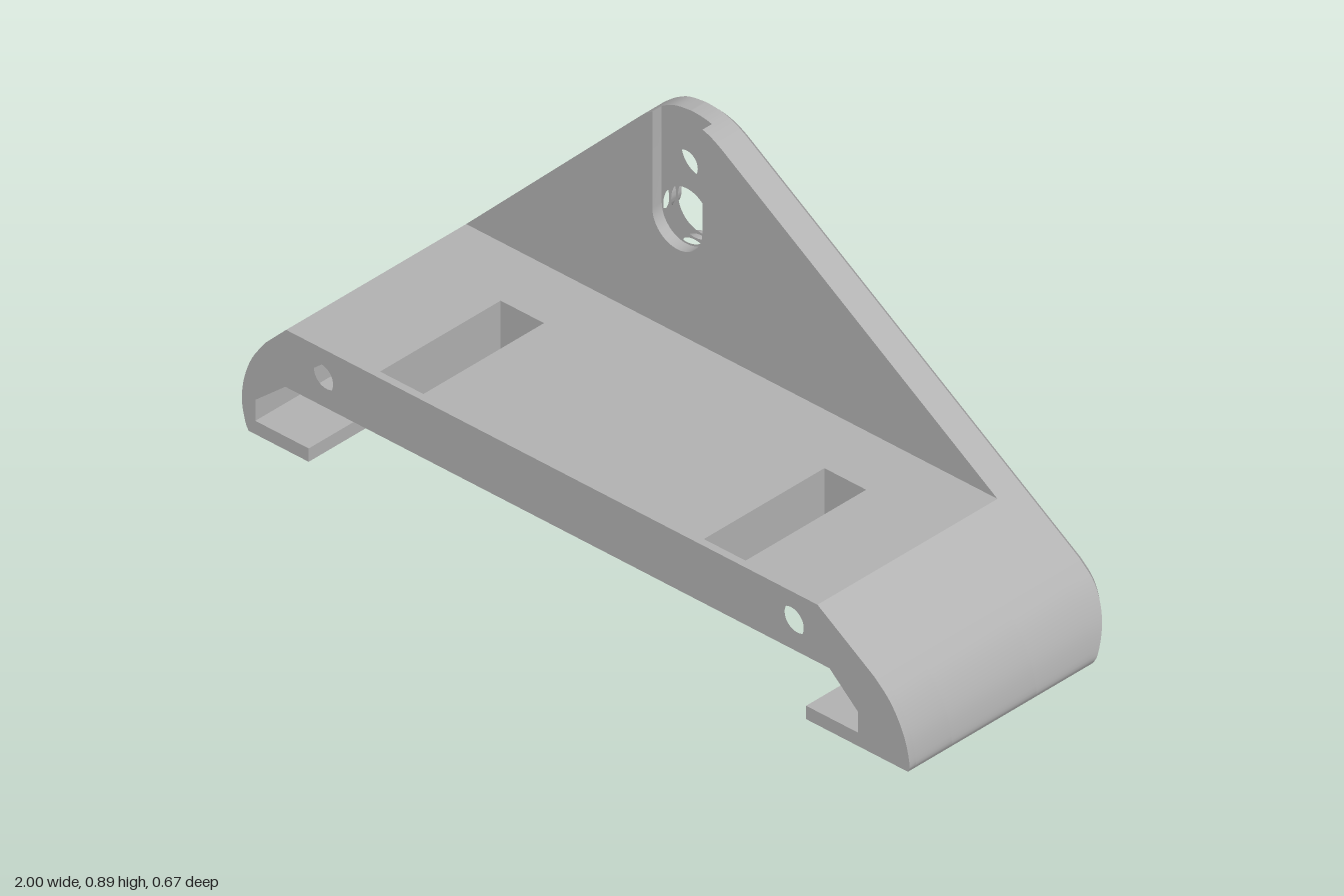
import * as THREE from 'three';
import { toCreasedNormals } from 'three/addons/utils/BufferGeometryUtils.js';

const grey = new THREE.MeshStandardMaterial({ color: 0xb2b2b2 });
grey.name = 'grey plastic';

const V = (x, y) => new THREE.Vector2(x, y);
const arc = (pts) => new THREE.SplineCurve(pts.map((p) => V(...p))).getPoints(20);

// Bracket silhouette: left and right flanks, each from the ground up to the apex
const LEFT = [
  ...arc([[-0.98, 0], [-0.99, 0.02], [-1, 0.07], [-0.994, 0.13], [-0.97, 0.195], [-0.928, 0.255]]),
  ...arc([[-0.345, 0.835], [-0.31, 0.862], [-0.27, 0.882], [-0.22, 0.89]]),
];
const RIGHT = [
  ...arc([[0.995, 0], [1, 0.02], [0.988, 0.075], [0.965, 0.125], [0.935, 0.167], [0.895, 0.203]]),
  ...arc([[-0.105, 0.858], [-0.14, 0.876], [-0.18, 0.887], [-0.22, 0.89]]),
];

const BLOCK_TOP = 0.315, BEND = 0.17, CHAMFER = 0.018;
const FRONT = 0.335, CAVITY_BACK = -0.07, PLATE_FRONT = -0.24, BACK = -0.335;

// Back surface depth: flat above, curling forward near the ground
const backZ = (y) => BACK + 0.062 * Math.pow(Math.max(0, BEND - y) / BEND, 1.6);

// Silhouette as one open path, and its inset copy for the chamfered rear edge
const rim = [...LEFT, ...RIGHT.slice(0, -1).reverse()];
const inset = rim.map((p, i) => {
  const t = rim[Math.min(i + 1, rim.length - 1)].clone().sub(rim[Math.max(i - 1, 0)]).normalize();
  const end = i === 0 || i === rim.length - 1;
  return V(p.x + t.y * CHAMFER, end ? 0 : p.y - t.x * CHAMFER);
});
const LEFT_IN = inset.slice(0, LEFT.length);
const RIGHT_IN = inset.slice(LEFT.length - 1).reverse();

// x of a flank at height y
function xAt(side, y) {
  let i = 1;
  while (i < side.length - 1 && side[i].y < y) i++;
  const a = side[i - 1], b = side[i];
  return a.x + ((b.x - a.x) * (y - a.y)) / (b.y - a.y);
}

// Part of a flank between two heights
function flank(side, y0, y1) {
  const pts = side.filter((p) => p.y > y0 + 1e-4 && p.y < y1 - 1e-4);
  return [V(xAt(side, y0), y0), ...pts, V(xAt(side, y1), y1)];
}

const fullPlate = (l, r) => [...flank(l, BEND, 1).slice(0, -1), ...flank(r, BEND, 1).slice(0, -1).reverse()];

export function createModel() {
  const model = new THREE.Group();
  model.name = 'mountingBracket';

  function add(name, geometry) {
    const mesh = new THREE.Mesh(toCreasedNormals(geometry, 0.5), grey);
    mesh.name = name;
    model.add(mesh);
  }

  // Slab between two depths, with round holes [x, y, radius]
  function slab(name, points, z0, z1, holes = []) {
    const shape = new THREE.Shape(points);
    for (const [x, y, r] of holes) shape.holes.push(new THREE.Path().absarc(x, y, r, 0, Math.PI * 2, true));
    const g = new THREE.ExtrudeGeometry(shape, { depth: z1 - z0, bevelEnabled: false, curveSegments: 32 });
    add(name, g.translate(0, 0, z0));
  }

  // Surface through rows of [x, y, z] points
  function loft(name, rows) {
    const n = rows[0].length, index = [];
    for (let r = 0; r < rows.length - 1; r++) {
      for (let i = 0; i < n - 1; i++) {
        const a = r * n + i, b = a + n;
        index.push(a, a + 1, b + 1, a, b + 1, b);
      }
    }
    const g = new THREE.BufferGeometry();
    g.setAttribute('position', new THREE.Float32BufferAttribute(rows.flat(2), 3));
    g.setIndex(index);
    g.computeVertexNormals();
    add(name, g);
  }

  // Block with an under-cut cavity that is open to the front and below
  const blockL = flank(LEFT, 0, BLOCK_TOP);
  const blockR = flank(RIGHT, 0, BLOCK_TOP).reverse();
  const cavityL = [V(-0.87, 0.165), V(-0.96, 0.09), V(-0.96, 0.035), V(-0.8, 0.035), V(-0.8, 0)];
  const cavityR = [V(0.69, 0), V(0.69, 0.035), V(0.845, 0.035), V(0.845, 0.09), V(0.76, 0.165)];
  const screwL = (r) => [-0.765, 0.235, r], screwR = (r) => [0.645, 0.235, r];

  slab('frontWall', [...blockL, ...blockR, ...cavityR, ...cavityL], 0.315, FRONT, [screwL(0.038), screwR(0.038)]);

  // Ends and middle leave two rectangular slots between them
  const leftEnd = [...blockL, V(-0.605, BLOCK_TOP), V(-0.605, 0.165), ...cavityL];
  const rightEnd = [V(0.49, BLOCK_TOP), ...blockR, ...cavityR, V(0.49, 0.165)];
  for (const [z0, z1, r] of [[0.2, 0.315, 0.038], [CAVITY_BACK, 0.2, 0.02]]) {
    slab('leftEnd', leftEnd, z0, z1, [screwL(r)]);
    slab('rightEnd', rightEnd, z0, z1, [screwR(r)]);
  }
  slab('middleDeck', [V(-0.475, 0.165), V(0.365, 0.165), V(0.365, BLOCK_TOP), V(-0.475, BLOCK_TOP)], CAVITY_BACK, 0.315);
  slab('rearBlock', [...blockL, ...blockR], PLATE_FRONT, CAVITY_BACK);

  // Upright plate: front layer with the cable groove running off the top
  const cx = -0.235, cy = 0.61, groove = 0.075, off = 0.136;
  const ring = (r) => [[cx - off, cy, r], [cx + off, cy, r], [cx, cy - off, r], [cx, cy + off, r]];
  const grooveEnd = [];
  for (let i = 0; i <= 24; i++) {
    const a = Math.PI + (Math.PI * i) / 24;
    grooveEnd.push(V(cx + groove * Math.cos(a), cy + groove * Math.sin(a)));
  }
  slab('groovedPlate', [
    ...flank(LEFT, BEND, 0.88).filter((p) => p.x < cx - groove), V(cx - groove, 0.862),
    ...grooveEnd,
    V(cx + groove, 0.882), ...flank(RIGHT, BEND, 0.889).filter((p) => p.x > cx + groove).reverse(),
  ], -0.27, PLATE_FRONT, ring(0.033).slice(0, 3));

  // Middle layer, then rear layers with counterbores
  const centre = [cx, cy, 0.07];
  slab('middlePlate', fullPlate(LEFT, RIGHT), -0.295, -0.27, [centre, ...ring(0.033)]);
  slab('rearPlate', fullPlate(LEFT, RIGHT), BACK + CHAMFER, -0.295, [centre, ...ring(0.06)]);
  slab('backFace', fullPlate(LEFT_IN, RIGHT_IN), BACK, BACK + CHAMFER, [centre, ...ring(0.06)]);

  // Plate sides and chamfer around the rear edge
  loft('chamferedRim', [
    rim.map((p) => [p.x, p.y, p.y < 0.27 ? PLATE_FRONT : -0.3]),
    rim.map((p) => [p.x, p.y, backZ(p.y) + CHAMFER]),
    inset.map((p) => [p.x, p.y, backZ(p.y)]),
  ]);

  // Underside and curled lower back
  const row = (l, r, y, z) => [[xAt(r, y), y, z], [xAt(l, y), y, z]];
  const rows = [row(LEFT, RIGHT, 0, PLATE_FRONT), row(LEFT, RIGHT, 0, backZ(0) + CHAMFER)];
  for (let i = 0; i <= 24; i++) {
    const y = (BEND * i) / 24;
    rows.push(row(LEFT_IN, RIGHT_IN, y, backZ(y)));
  }
  loft('curledBack', rows);

  return model;
}
